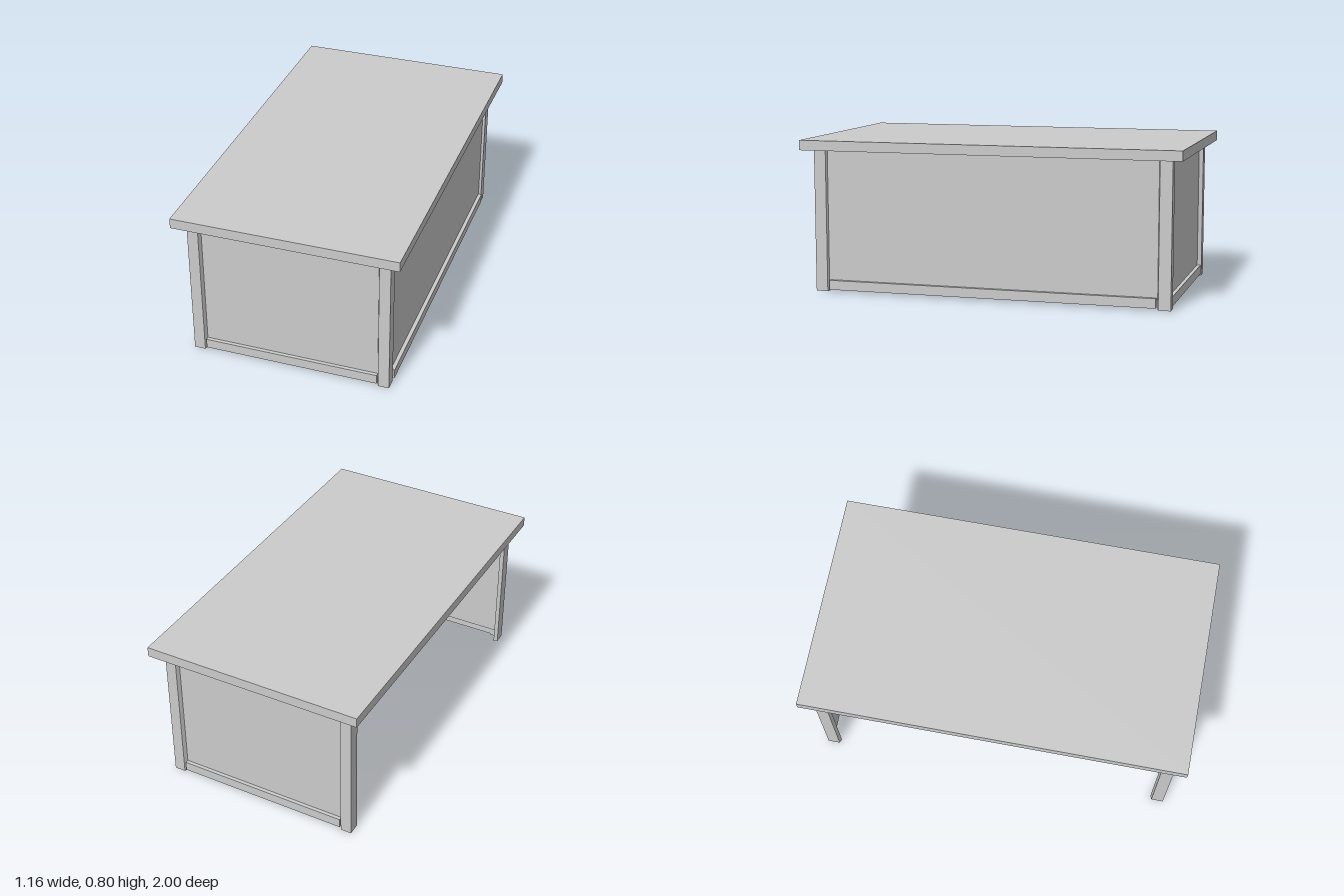
import * as THREE from 'three';

export function createModel() {
  const group = new THREE.Group();
  group.name = 'desk';
  const material = new THREE.MeshStandardMaterial({ color: 0xcccccc });

  function add(name, geometry) {
    const mesh = new THREE.Mesh(geometry, material);
    mesh.name = name;
    group.add(mesh);
    return mesh;
  }

  // Box given by its minimum and maximum along each axis
  function box(name, [x0, x1], [y0, y1], [z0, z1]) {
    add(name, new THREE.BoxGeometry(x1 - x0, y1 - y0, z1 - z0))
      .position.set((x0 + x1) / 2, (y0 + y1) / 2, (z0 + z1) / 2);
  }
  const mirrored = (side, a, b) => (side > 0 ? [a, b] : [-b, -a]);

  // L-shaped section (x, z) of a corner leg, with slanted ends on both plates
  const legSection = [
    [0.52, 0.943], [0.463, 0.943], [0.455, 0.921],
    [0.5, 0.921], [0.5, 0.872], [0.52, 0.88],
  ];
  function leg(name, sx, sz) {
    const shape = new THREE.Shape(legSection.map(([x, z]) => new THREE.Vector2(sx * x, -sz * z)));
    const geometry = new THREE.ExtrudeGeometry(shape, { depth: 0.748, bevelEnabled: false });
    add(name, geometry.rotateX(-Math.PI / 2));
  }

  box('tabletop', [-0.58, 0.58], [0.748, 0.8], [-1, 1]);
  // Shallow board under the top, set between the panels
  box('underBoard', [-0.5, 0.49], [0.73, 0.75], [-0.91, 0.91]);

  for (const sz of [1, -1]) {
    const end = sz > 0 ? 'front' : 'back';
    leg(end + 'LeftLeg', 1, sz);
    leg(end + 'RightLeg', -1, sz);
    // Thin end panel behind the leg plates, with a bottom rail on its outside
    box(end + 'Panel', [-0.5, 0.5], [0.05, 0.748], mirrored(sz, 0.908, 0.921));
    box(end + 'Rail', [-0.455, 0.455], [0.01, 0.06], mirrored(sz, 0.918, 0.94));
  }

  // Long closed side; the opposite side stays open for the knees
  box('sidePanel', [0.49, 0.506], [0.05, 0.748], [-0.908, 0.908]);
  box('sideRail', [0.503, 0.526], [0.01, 0.06], [-0.868, 0.868]);

  return group;
}
